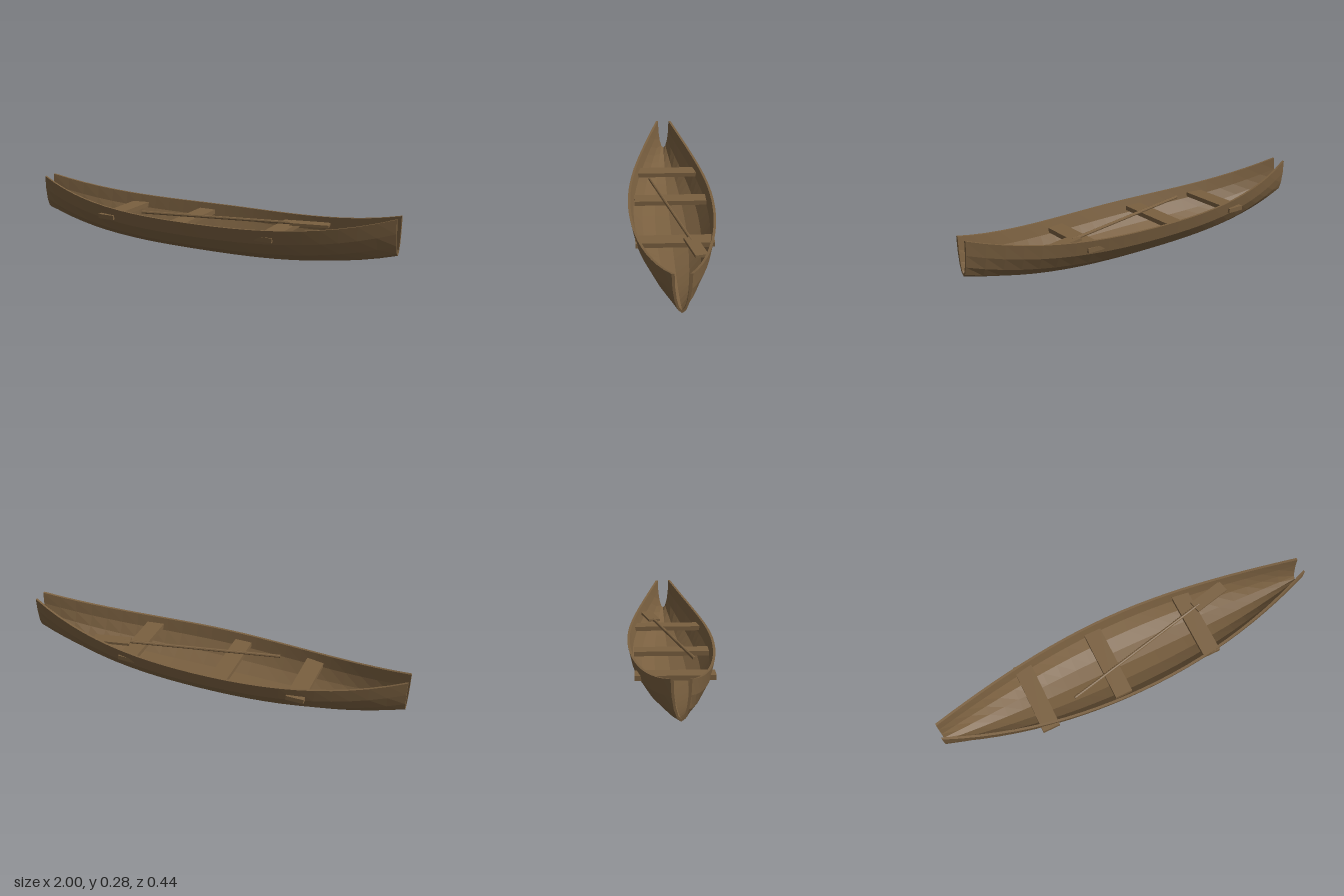
import * as THREE from 'three';

const wood = new THREE.MeshStandardMaterial({ color: 0x7a6040, flatShading: true, roughness: 0.9 });

function add(parent, name, geometry, x = 0, y = 0, z = 0) {
  const mesh = new THREE.Mesh(geometry, wood);
  mesh.name = name;
  mesh.position.set(x, y, z);
  parent.add(mesh);
  return mesh;
}

// Thick half-elliptical shell: narrows and sweeps upward to open ends
function hullGeometry() {
  const stations = 24, sides = 8, wall = 0.0125, depth = 0.182;
  const ring = (x) => {
    const halfWidth = 0.219 - 0.175 * x * x;
    const sheer = 0.183 + 0.102 * Math.abs(x) ** 3;
    const arc = (inset) => Array.from({ length: sides + 1 }, (_, j) => {
      const a = (j / sides - 0.5) * Math.PI;
      return [x, sheer - (depth - inset) * Math.cos(a), -(halfWidth - inset) * Math.sin(a)];
    });
    return [...arc(0), ...arc(wall).reverse()];
  };
  const positions = [];
  const quad = (a, b, c, d) => positions.push(...a, ...b, ...c, ...a, ...c, ...d);

  const rings = Array.from({ length: stations + 1 }, (_, i) => ring((2 * i) / stations - 1));
  const n = rings[0].length;
  for (let i = 0; i < stations; i++) {
    const p = rings[i], q = rings[i + 1];
    for (let j = 0; j < n; j++) {
      const k = (j + 1) % n;
      quad(p[j], p[k], q[k], q[j]);
    }
  }
  // End faces of the shell
  const first = rings[0], last = rings[stations];
  for (let j = 0; j < sides; j++) {
    const inner = n - 1 - j;
    quad(last[j], last[j + 1], last[inner - 1], last[inner]);
    quad(first[j], first[inner], first[inner - 1], first[j + 1]);
  }
  const geometry = new THREE.BufferGeometry();
  geometry.setAttribute('position', new THREE.Float32BufferAttribute(positions, 3));
  geometry.computeVertexNormals();
  return geometry;
}

export function createModel() {
  const canoe = new THREE.Group();
  canoe.name = 'canoe';
  add(canoe, 'hull', hullGeometry());

  // Plank seats, whose ends pass through the narrower parts of the hull
  for (const x of [-0.5, -0.1, 0.4]) {
    add(canoe, 'seat', new THREE.BoxGeometry(0.09, 0.023, 0.372), x, 0.145, 0);
  }

  // Paddle lying diagonally across the seats
  const paddle = new THREE.Group();
  paddle.name = 'paddle';
  paddle.position.set(0.065, 0.173, 0.012);
  paddle.rotation.y = 0.218;
  const shaft = add(paddle, 'paddleShaft', new THREE.CylinderGeometry(0.008, 0.008, 0.81, 8));
  shaft.rotation.z = Math.PI / 2;
  add(paddle, 'paddleBlade', new THREE.BoxGeometry(0.194, 0.013, 0.062), 0.472, 0, 0);
  canoe.add(paddle);

  return canoe;
}
